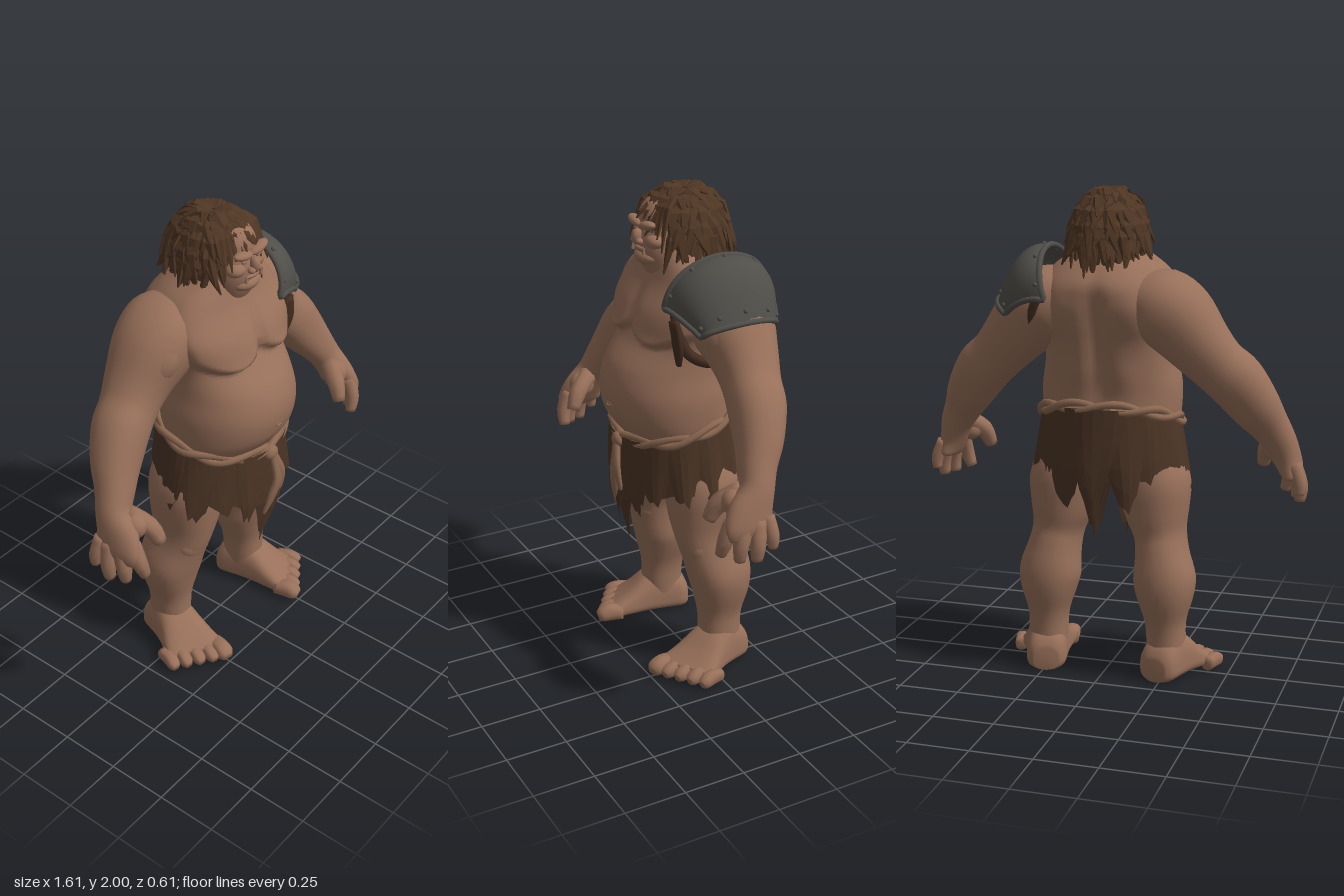
import * as THREE from 'three';
import { mergeGeometries } from 'three/addons/utils/BufferGeometryUtils.js';

const V = (x, y, z) => new THREE.Vector3(x, y, z);
const mat = (name, color, side = THREE.FrontSide) => {
  const m = new THREE.MeshStandardMaterial({ color, side });
  m.name = name;
  return m;
};
let seed = 7;
const rnd = () => (seed = (seed * 16807) % 2147483647) / 2147483647;
const flat = (g) => { const n = g.toNonIndexed(); n.computeVertexNormals(); return n; };

function build(pos, idx) {
  const g = new THREE.BufferGeometry();
  g.setAttribute('position', new THREE.Float32BufferAttribute(pos, 3));
  g.setIndex(idx);
  g.computeVertexNormals();
  return g;
}

// Smooth skin over rings [x, y, z, half width, front depth, back depth], closed at both ends.
function loft(rings, segs = 28, sub = 4, ref = V(0, 0, 1), power = 0.92) {
  const R = [];
  for (let i = 0; i < rings.length - 1; i++) {
    const p = [rings[Math.max(i - 1, 0)], rings[i], rings[i + 1], rings[Math.min(i + 2, rings.length - 1)]];
    for (let k = 0; k < sub; k++) {
      const t = k / sub;
      R.push(p[1].map((b, n) => {
        const [a, c, d] = [p[0][n], p[2][n], p[3][n]];
        return b + 0.5 * t * (c - a + t * (2 * a - 5 * b + 4 * c - d + t * (3 * (b - c) + d - a)));
      }));
    }
  }
  R.push(rings[rings.length - 1]);
  R.unshift([...R[0].slice(0, 3), 0, 0, 0]);
  R.push([...R[R.length - 1].slice(0, 3), 0, 0, 0]);
  const pos = [], idx = [], last = R.length - 1;
  const pw = (v) => Math.sign(v) * Math.abs(v) ** power;
  R.forEach((r, i) => {
    const A = R[Math.max(i - 2, 0)], B = R[Math.min(i + 2, last)];
    const t = V(B[0] - A[0], B[1] - A[1], B[2] - A[2]).normalize();
    const v = ref.clone().addScaledVector(t, -ref.dot(t)).normalize();
    const u = t.clone().cross(v);
    for (let j = 0; j < segs; j++) {
      const a = j / segs * Math.PI * 2, s = pw(Math.sin(a));
      const q = V(r[0], r[1], r[2]).addScaledVector(u, r[3] * pw(Math.cos(a))).addScaledVector(v, s * (s > 0 ? r[4] : r[5]));
      pos.push(q.x, q.y, q.z);
      if (i < last) {
        const n = (j + 1) % segs, b = i * segs, c = b + segs;
        idx.push(b + j, c + j, b + n, b + n, c + j, c + n);
      }
    }
  });
  return build(pos, idx);
}

// Open sheet from a rule fn(u, v).
function sheet(cols, rows, fn) {
  const pos = [], idx = [];
  for (let r = 0; r <= rows; r++) for (let c = 0; c <= cols; c++) {
    const p = fn(c / cols, r / rows);
    pos.push(p.x, p.y, p.z);
    if (r < rows && c < cols) {
      const a = r * (cols + 1) + c, b = a + cols + 1;
      idx.push(a, b, a + 1, a + 1, b, b + 1);
    }
  }
  return build(pos, idx);
}
const ball = (x, y, z, rx, ry, rz) => new THREE.SphereGeometry(1, 24, 16).scale(rx, ry, rz).translate(x, y, z);
const tube = (pts, r, closed = false, n = 40) => new THREE.TubeGeometry(new THREE.CatmullRomCurve3(pts, closed), n, r, 7, closed);

export function createModel() {
  seed = 7;
  const model = new THREE.Group();
  model.name = 'ogre';
  const skin = mat('skin', 0x98705a), hair = mat('hair', 0x4f3624, THREE.DoubleSide);
  const cloth = mat('hide cloth', 0x4b3425, THREE.DoubleSide), rope = mat('rope', 0x8c6851);
  const metal = mat('dull metal', 0x504e49, THREE.DoubleSide), leather = mat('leather', 0x432d21);
  const add = (name, geo, m, parent = model) => {
    const mesh = new THREE.Mesh(geo, m);
    mesh.name = name;
    parent.add(mesh);
    return mesh;
  };

  // Torso, shaped with heavy chest folds, back muscles and a spine groove
  const torso = loft([
    [0, 0.84, 0, 0.17, 0.11, 0.13], [0, 0.94, 0, 0.25, 0.18, 0.2], [0, 1.02, 0, 0.272, 0.235, 0.205],
    [0, 1.1, 0, 0.283, 0.285, 0.2], [0, 1.2, 0, 0.285, 0.3, 0.195], [0, 1.3, 0, 0.27, 0.272, 0.215],
    [0, 1.4, 0, 0.268, 0.2, 0.24], [0, 1.48, 0, 0.288, 0.162, 0.26], [0, 1.56, 0, 0.3, 0.148, 0.272],
    [0, 1.63, 0, 0.275, 0.13, 0.268], [0, 1.69, 0, 0.225, 0.11, 0.225], [0, 1.745, 0, 0.15, 0.095, 0.165],
    [0, 1.8, 0, 0.09, 0.08, 0.1]], 80, 8);
  const tp = torso.attributes.position, bell = (d, w) => Math.exp(-((d / w) ** 2)), step = THREE.MathUtils.smoothstep;
  for (let i = 0; i < tp.count; i++) {
    const x = Math.abs(tp.getX(i)), y = tp.getY(i), z = tp.getZ(i);
    if (z > 0) {
      const fold = 1.475 - 0.065 * Math.sin(Math.PI * Math.min(x / 0.28, 1)) ** 0.8;
      const chest = step(y, fold - 0.012, fold + 0.02) * (1 - step(y, 1.48, 1.66)) * (1 - 0.55 * bell(x, 0.025));
      tp.setZ(i, z + 0.048 * chest * step(z, 0, 0.06));
    } else {
      const groove = bell(x, 0.035) * bell(y - 1.42, 0.2);
      const muscle = bell(x - 0.17, 0.08) * bell(y - 1.52, 0.11) + 0.5 * bell(x - 0.11, 0.06) * bell(y - 1.25, 0.1);
      tp.setZ(i, z + (0.035 * groove - 0.025 * muscle) * step(-z, 0.04, 0.14));
    }
  }
  torso.computeVertexNormals();
  add('torso', torso, skin);
  add('navel', new THREE.TorusGeometry(0.012, 0.004, 6, 14).scale(1.4, 0.7, 1).translate(0, 1.145, 0.296), skin);

  for (const s of [1, -1]) {
    const side = s > 0 ? 'left' : 'right';
    const mir = (rings) => rings.map(([x, ...r]) => [x * s, ...r]);
    const limb = (rings, segs, sub) => loft(mir(rings), segs, sub);
    add(side + 'Shoulder', ball(0, 0, 0, 0.1, 0.155, 0.15).rotateZ(s * 0.55).translate(s * 0.33, 1.51, -0.085), skin);
    // Arm and palm
    add(side + 'Arm', limb([
      [0.12, 1.57, -0.08, 0.1, 0.12, 0.15], [0.22, 1.545, -0.085, 0.148, 0.16, 0.178], [0.3, 1.49, -0.09, 0.152, 0.158, 0.168],
      [0.39, 1.39, -0.09, 0.127, 0.125, 0.135], [0.46, 1.315, -0.08, 0.113, 0.11, 0.115], [0.53, 1.25, -0.06, 0.114, 0.105, 0.115],
      [0.6, 1.15, -0.03, 0.1, 0.092, 0.095], [0.65, 1.07, 0.005, 0.08, 0.075, 0.075], [0.69, 1.0, 0.03, 0.067, 0.07, 0.068],
      [0.715, 0.93, 0.065, 0.055, 0.095, 0.085], [0.735, 0.87, 0.08, 0.042, 0.105, 0.098], [0.74, 0.84, 0.08, 0.028, 0.09, 0.085]]), skin);
    // Fingers and thumb
    const fingers = [
      [[0.715, 0.91, 0.14], [0.71, 0.83, 0.172], [0.69, 0.765, 0.18]],
      [[0.735, 0.9, 0.1], [0.75, 0.815, 0.127], [0.745, 0.75, 0.13]],
      [[0.745, 0.9, 0.055], [0.772, 0.815, 0.067], [0.77, 0.75, 0.07]],
      [[0.75, 0.91, 0.018], [0.777, 0.84, 0.008], [0.778, 0.79, 0.005]],
      [[0.665, 0.995, 0.07], [0.617, 0.94, 0.145], [0.597, 0.87, 0.18]]];
    fingers.forEach((f, i) => {
      const w = [0.034, 0.031, 0.022].map((r) => r * (i === 4 ? 1.2 : i === 3 ? 0.85 : 1));
      add(side + (i === 4 ? 'Thumb' : 'Finger' + (i + 1)), limb(f.map((p, k) => [...p, w[k], w[k], w[k]]), 10, 3), skin);
    });
    add(side + 'ThumbPad', ball(s * 0.662, 0.955, 0.105, 0.05, 0.055, 0.055), skin);
    // Leg, knee and foot
    add(side + 'Leg', limb([
      [0.13, 0.97, -0.02, 0.1, 0.12, 0.13], [0.185, 0.83, -0.02, 0.145, 0.152, 0.165], [0.2, 0.7, -0.025, 0.132, 0.148, 0.155],
      [0.217, 0.6, -0.03, 0.106, 0.135, 0.14], [0.23, 0.52, -0.045, 0.108, 0.125, 0.14], [0.245, 0.42, -0.065, 0.127, 0.12, 0.14],
      [0.25, 0.34, -0.07, 0.115, 0.108, 0.128], [0.252, 0.24, -0.07, 0.085, 0.088, 0.1], [0.255, 0.15, -0.07, 0.08, 0.085, 0.092],
      [0.258, 0.05, -0.075, 0.08, 0.085, 0.09]]), skin);
    add(side + 'Knee', ball(s * 0.225, 0.55, 0.025, 0.09, 0.085, 0.065), skin);
    const foot = new THREE.Group();
    foot.name = side + 'Foot';
    foot.position.set(s * 0.26, 0, -0.08);
    foot.rotation.y = s * 0.27;
    model.add(foot);
    const body = loft([[0, 0.05, -0.108, 0.05, 0.05, 0.045], [0, 0.05, -0.08, 0.08, 0.1, 0.05], [0, 0.05, 0, 0.087, 0.15, 0.05],
      [0, 0.05, 0.07, 0.095, 0.125, 0.05], [0, 0.045, 0.14, 0.11, 0.07, 0.045], [0, 0.038, 0.2, 0.121, 0.035, 0.038],
      [0, 0.034, 0.23, 0.115, 0.022, 0.032]], 28, 3, V(0, 1, 0), 0.78);
    const fp = body.attributes.position;
    for (let i = 0; i < fp.count; i++) fp.setZ(i, fp.getZ(i) - 0.3 * s * fp.getX(i) * Math.max(0, fp.getZ(i)) / 0.2);
    body.computeVertexNormals();
    add('footBody', body, skin, foot);
    for (let i = 0; i < 5; i++) {
      const r = i ? 0.026 : 0.036, x = i ? -0.094 + i * 0.053 + 0.003 : -0.09, z = 0.2 - 0.36 * x;
      add('toe' + (i + 1), loft([[s * x, 0.036, z - 0.03, r, r * 0.8, 0.034], [s * x, 0.036, z + 0.025, r * 1.05, r * 1.1, 0.034],
        [s * x * 1.02, 0.03, z + 0.06, r, r * 0.9, 0.029], [s * x * 1.02, 0.024, z + 0.078, r * 0.6, r * 0.5, 0.02]], 12, 3, V(0, 1, 0), 0.8), skin, foot);
    }
    // Face details
    add(side + 'Brow', ball(0, 0, 0, 0.052, 0.018, 0.025).rotateZ(s * 0.2).translate(s * 0.045, 1.862, 0.142), skin);
    add(side + 'Eye', ball(s * 0.042, 1.836, 0.145, 0.014, 0.009, 0.009), skin);
    add(side + 'Cheek', ball(s * 0.055, 1.8, 0.115, 0.045, 0.03, 0.038), skin);
    add(side + 'Nostril', ball(s * 0.02, 1.797, 0.163, 0.016, 0.013, 0.016), skin);
    add(side + 'Tusk', new THREE.ConeGeometry(0.008, 0.034, 8).translate(s * 0.045, 1.768, 0.158), rope);
  }

  // Head
  add('head', loft([[0, 1.65, 0.04, 0.07, 0.05, 0.09], [0, 1.69, 0.055, 0.084, 0.075, 0.1], [0, 1.74, 0.055, 0.098, 0.1, 0.1],
    [0, 1.79, 0.05, 0.1, 0.108, 0.11], [0, 1.835, 0.045, 0.098, 0.1, 0.12], [0, 1.87, 0.04, 0.098, 0.105, 0.12],
    [0, 1.905, 0.02, 0.085, 0.09, 0.1], [0, 1.94, -0.005, 0.05, 0.05, 0.06]]), skin);
  add('nose', ball(0, 1.812, 0.162, 0.019, 0.032, 0.023), skin);
  add('upperLip', ball(0, 1.768, 0.135, 0.05, 0.014, 0.032), skin);
  add('jaw', ball(0, 1.73, 0.115, 0.07, 0.034, 0.052), skin);

  // Shaggy hair: scalp cap plus layers of tapering locks
  const hp = (phi, e, k) => V(0.12 * k * Math.cos(e) * Math.sin(phi), 1.84 + 0.135 * k * Math.sin(e), -0.035 + 0.155 * k * Math.cos(e) * Math.cos(phi));
  const locks = [];
  // lock count, start and end elevation, face gap, droop, spread of the mid and the tip
  const layers = [[20, 1.5, 0.8, 0, 0, 1.1, 1.16], [28, 1.2, 0.45, 0, 0.01, 1.08, 1.2], [32, 0.85, 0.05, 0.45, 0.04, 1.1, 1.3],
    [34, 0.5, -0.35, 0.85, 0.06, 1.15, 1.5], [34, 0.2, -0.55, 1.0, 0.06, 1.2, 1.65], [26, 0, -0.75, 1.25, 0.06, 1.15, 1.65]];
  layers.forEach(([n, e0, e1, gap, drop, k1, k2]) => {
    for (let i = 0; i < n; i++) {
      const phi = gap + (i + rnd() * 0.8) / n * (Math.PI * 2 - gap * 2), turn = rnd() * 0.7 - 0.35;
      const a = hp(phi, e0, 0.96), b = hp(phi + turn * 0.3, (e0 + e1) / 2, k1 + rnd() * 0.08), c = hp(phi + turn, e1 + rnd() * 0.3 - 0.15, k2 + rnd() * 0.2 - 0.12);
      c.y -= drop * rnd();
      const out = b.clone().sub(V(0, 1.84, -0.035)).normalize();
      const w = 0.02 + rnd() * 0.014;
      locks.push(flat(loft([[...a.toArray(), w * 0.8, 0.012, 0.012], [...b.toArray(), w, 0.014, 0.014], [...c.toArray(), 0.003, 0.003, 0.003]], 5, 2, out)));
    }
  });
  // Loose forelocks over the brow and beside the cheeks
  for (let i = 0; i < 11; i++) {
    const x = (i - 5) * 0.021, edge = Math.abs(x) / 0.105;
    locks.push(flat(loft([[x * 0.5, 1.965, 0.02, 0.018, 0.01, 0.01], [x * 0.9, 1.93, 0.112 - edge * 0.03, 0.02, 0.012, 0.012],
      [x * 1.15 + rnd() * 0.02 - 0.01, 1.895 - rnd() * 0.03 - edge ** 2 * 0.11, 0.155 - edge * 0.03, 0.003, 0.003, 0.003]], 5, 2, V(0, 0.6, 0.8))));
  }
  add('hairLocks', mergeGeometries(locks), hair);
  add('hairCap', ball(0, 1.845, -0.035, 0.115, 0.132, 0.142), hair);

  // Ragged hide skirt: one full layer under broad pointed panels
  const drape = (phi, d, off) => {
    const c = Math.cos(phi), t = Math.min(d / 0.28, 1.1), fold = 1 + 0.02 * t * Math.sin(phi * 13) + off;
    const lean = Math.max(0, d - 0.25) * (c > 0 ? -0.2 : -0.08) * c;
    return V(Math.sin(phi) * 0.28 * (1 + 0.17 * t) * fold, 1.075 - 0.07 * c - d, c * 0.232 * (1 + 0.07 * t) * fold + lean);
  };
  const panel = (phi, h, len, taper, off, cols) => {
    const jag = Array.from({ length: cols + 1 }, (_, i) => (i % 2 ? 0.025 : -0.025) * rnd() - 0.015 * rnd());
    jag[cols] = jag[0];
    return flat(sheet(cols, 5, (u, t) => {
      const c = u * 2 - 1;
      return drape(phi + c * h * (1 - taper * t ** 1.5), t * (len * (1 - taper * 0.25 * Math.abs(c)) + jag[Math.round(u * cols)]), off + 0.02 * (1 - Math.abs(c)));
    }));
  };
  const panels = [panel(0, Math.PI, 0.24, 0, 0, 40)];
  for (let i = 0; i < 14; i++) panels.push(panel((i + 0.5) / 14 * Math.PI * 2, 0.3, 0.26 + rnd() * 0.07, 0.5, 0.005 + 0.03 * rnd(), 5));
  for (const s of [1, -1]) {
    panels.push(panel(s * 0.34, 0.3, 0.34, 0.65, 0.02, 5));
    panels.push(panel(Math.PI + s * 0.38, 0.34, 0.42, 0.6, 0.03, 5));
  }
  add('skirt', mergeGeometries(panels), cloth);
  [0.02, 0.1].forEach((off, i) => {
    add('frontFlap' + (i + 1), panel(0, 0.48, 0.52 - i * 0.14, 0.85, off, 6), cloth);
    add('backFlap' + (i + 1), panel(Math.PI, 0.42, 0.54 - i * 0.1, 0.8, off, 6), cloth);
  });

  // Twisted rope belt with knot and hanging ends
  for (let k = 0; k < 2; k++) {
    const pts = [];
    for (let i = 0; i < 120; i++) {
      const phi = i / 120 * Math.PI * 2, w = phi * 5 + k * Math.PI, r = 1 + 0.02 * Math.cos(w);
      pts.push(V(Math.sin(phi) * 0.288 * r, 1.075 - 0.075 * Math.cos(phi) + 0.016 * Math.sin(w), Math.cos(phi) * 0.242 * r));
    }
    add('beltStrand' + (k + 1), tube(pts, 0.016, true, 200), rope);
  }
  add('beltKnot', ball(0, 0.98, 0.257, 0.036, 0.032, 0.025), rope);
  add('beltEndLong', loft([[0, 0.99, 0.262, 0.018, 0.014, 0.014], [0.015, 0.86, 0.284, 0.026, 0.014, 0.014], [-0.01, 0.76, 0.27, 0.026, 0.012, 0.012], [-0.03, 0.68, 0.252, 0.01, 0.006, 0.006]], 8), rope);
  add('beltEndShort', loft([[0, 0.99, 0.262, 0.016, 0.014, 0.014], [0.035, 0.88, 0.284, 0.022, 0.014, 0.014], [0.045, 0.78, 0.272, 0.014, 0.008, 0.008]], 8), rope);

  // Shoulder plate with raised rim, rivets and strap
  const plate = (u, v) => {
    const a = v * Math.PI, s = Math.sin(a) ** 0.9, L = THREE.MathUtils.lerp, bulge = Math.sin(u * Math.PI) * (0.3 + 0.7 * s);
    return V(L(0.19 + 0.045 * s, 0.37 + 0.065 * s, u) + 0.015 * bulge, L(1.575 + 0.19 * s, 1.505 + 0.05 * s, u ** 1.6) + 0.03 * bulge,
      -0.075 + Math.cos(a) * L(0.222, 0.16, u * u));
  };
  add('shoulderPlate', sheet(12, 24, plate), metal);
  const rim = [];
  for (let i = 0; i < 16; i++) rim.push(plate(0, i / 16));
  for (let i = 0; i < 6; i++) rim.push(plate(i / 6, 1));
  for (let i = 0; i < 16; i++) rim.push(plate(1, 1 - i / 16));
  for (let i = 0; i < 6; i++) rim.push(plate(1 - i / 6, 0));
  add('plateRim', tube(rim, 0.012, true, 140), metal);
  for (let i = 0; i < 5; i++) for (const u of [0.1, 0.9]) {
    const p = plate(u, 0.08 + i * 0.21);
    add('rivet', ball(p.x, p.y, p.z, 0.009, 0.009, 0.009), metal);
  }
  add('armStrap', tube([V(0.21, 1.6, 0.12), V(0.25, 1.5, 0.12), V(0.27, 1.41, 0.09), V(0.285, 1.36, 0), V(0.28, 1.38, -0.13),
    V(0.265, 1.47, -0.23), V(0.22, 1.6, -0.265)], 0.022), leather);
  add('strapEnd', loft([[0.25, 1.54, 0.14, 0.03, 0.014, 0.014], [0.265, 1.44, 0.13, 0.036, 0.014, 0.014], [0.25, 1.36, 0.118, 0.016, 0.01, 0.01]], 8), leather);
  return model;
}
